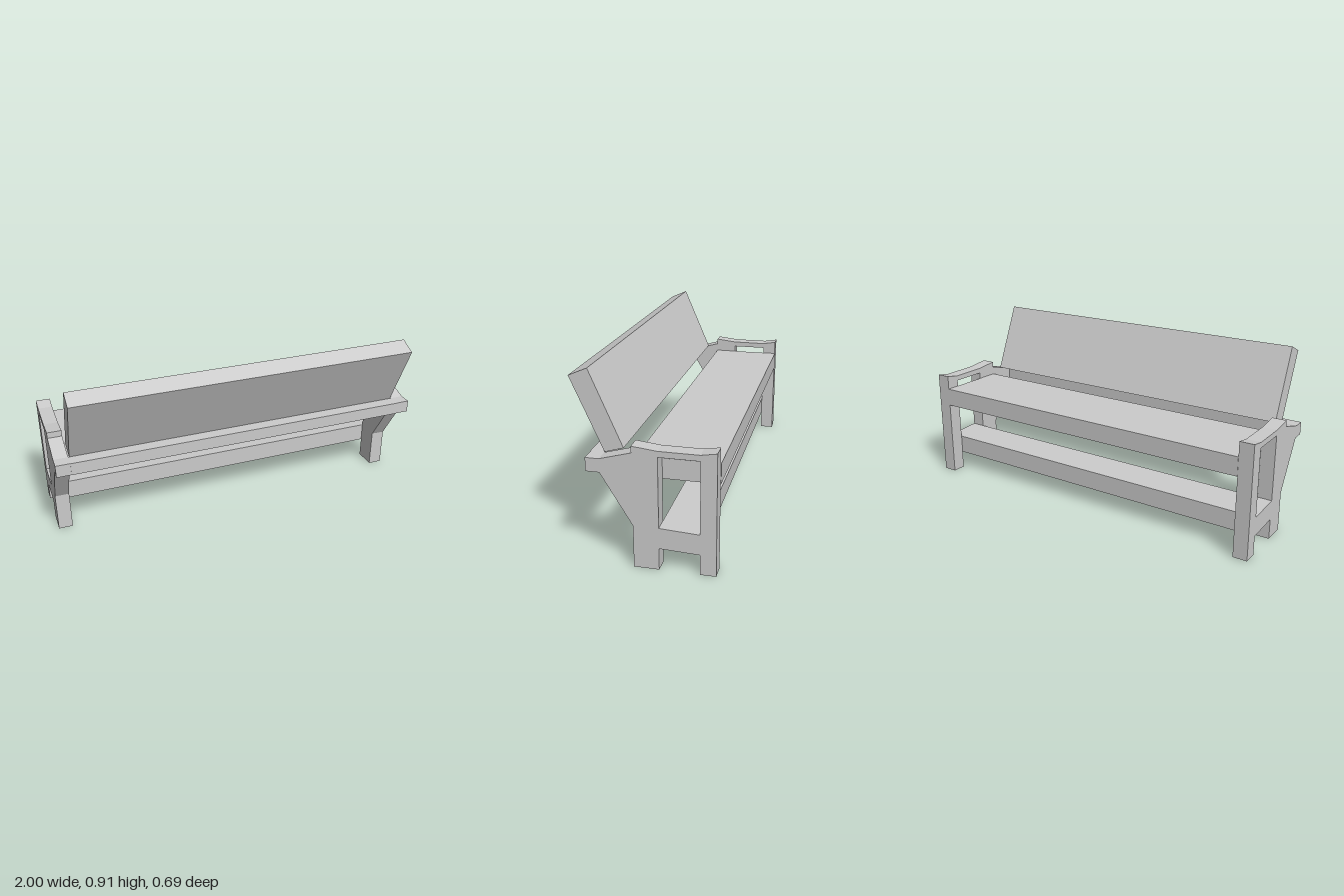
import * as THREE from 'three';

const END_W = 0.075, SPAN = 1.85;

// Extrudes a [z, y] profile along x, centred on x = 0
function profile(name, points, width, hole) {
  const toVec = ([z, y]) => new THREE.Vector2(z, y);
  const shape = new THREE.Shape(points.map(toVec));
  if (hole) shape.holes.push(new THREE.Path(hole.map(toVec)));
  const geometry = new THREE.ExtrudeGeometry(shape, { depth: width, bevelEnabled: false });
  geometry.translate(0, 0, -width / 2);
  geometry.rotateY(-Math.PI / 2);
  const material = new THREE.MeshStandardMaterial({ color: 0xcccccc, flatShading: true });
  const mesh = new THREE.Mesh(geometry, material);
  mesh.name = name;
  return mesh;
}

export function createModel() {
  const bench = new THREE.Group();
  bench.name = 'bench';

  // End frames: two legs, lower rung, armrest and the bracket behind
  const outline = [
    [0.255, 0.457], [0.255, 0.523], [0.19, 0.523], [0.04, 0.565],
    [0.04, 0.597], [-0.08, 0.584], [-0.27, 0.584], [-0.345, 0.597],
    [-0.345, 0], [-0.27, 0], [-0.27, 0.1], [-0.08, 0.108],
    [-0.08, 0], [0.04, 0], [0.04, 0.21], [0.19, 0.457],
  ];
  const opening = [[-0.08, 0.211], [-0.08, 0.555], [-0.27, 0.555], [-0.27, 0.201]];
  for (const [side, name] of [[1, 'leftEndFrame'], [-1, 'rightEndFrame']]) {
    const frame = profile(name, outline, END_W, opening);
    frame.position.x = side * (1 - END_W / 2);
    bench.add(frame);
  }

  // Seat plank
  bench.add(profile('seat', [[-0.347, 0.422], [0.04, 0.422], [0.04, 0.521], [-0.347, 0.521]], SPAN));

  // Leaning backrest
  bench.add(profile('backrest', [[0.19, 0.523], [0.347, 0.873], [0.257, 0.912], [0.1, 0.55]], SPAN - 0.01));

  // Rail carrying the backrest
  bench.add(profile('backRail', [[0.19, 0.457], [0.257, 0.457], [0.257, 0.523], [0.19, 0.523]], SPAN));

  // Lower stretcher between the legs
  bench.add(profile('stretcher', [[-0.27, 0.1], [-0.08, 0.108], [-0.08, 0.211], [-0.27, 0.201]], SPAN));

  return bench;
}
